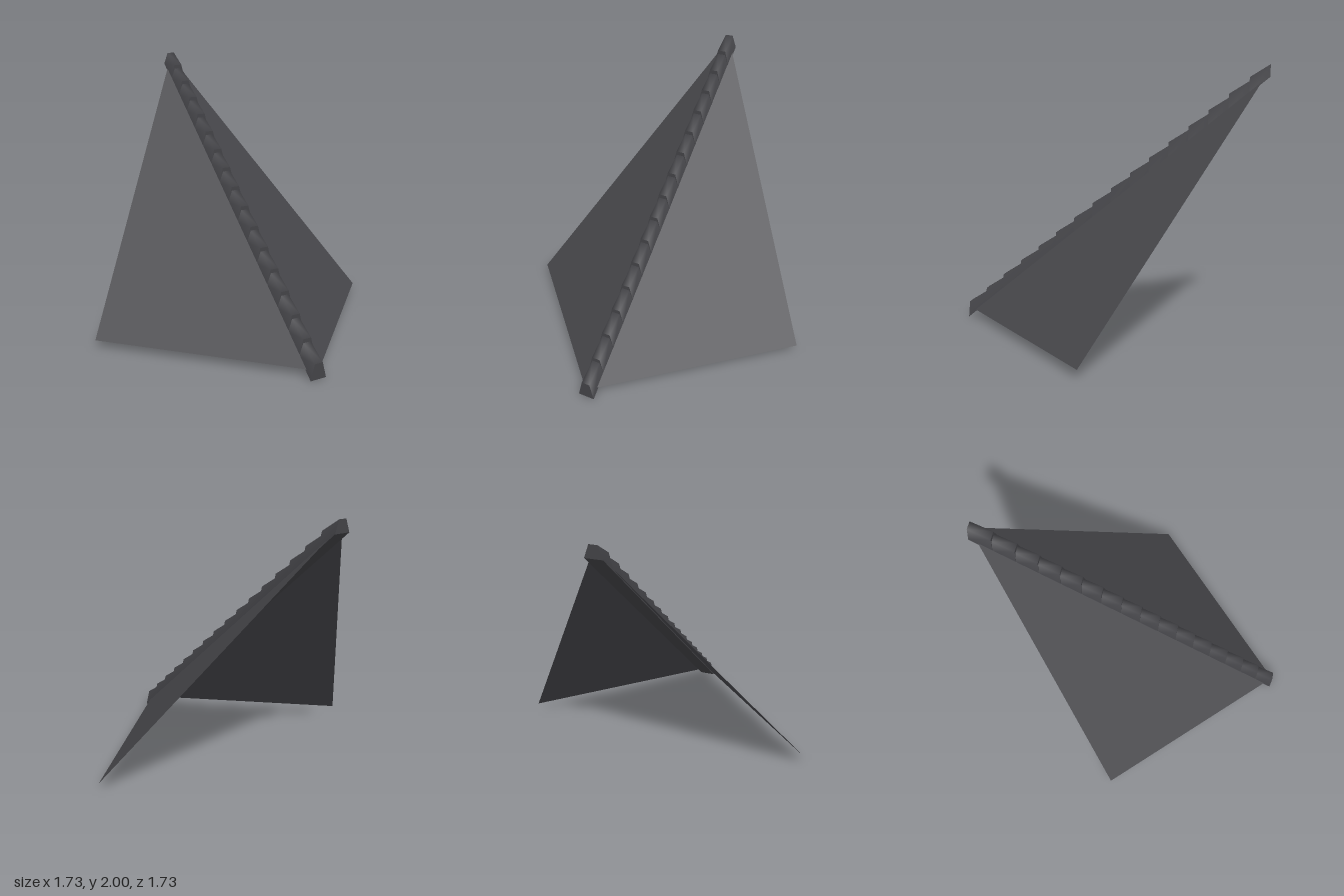
import * as THREE from 'three';

const TILES = 16;
const HALF = 0.8225; // half extent of the square footprint
const RISE = 1.91;   // height climbed by the hip
const EAVE = 0.06;   // height of the roof's lower edges

function indexedGeometry(points, index) {
  const geo = new THREE.BufferGeometry();
  geo.setAttribute('position', new THREE.Float32BufferAttribute(points.flat(), 3));
  geo.setIndex(index);
  geo.computeVertexNormals();
  return geo;
}

// Trapezoid section across the hip at fraction t of the way down
function section(t, height, topHalf) {
  const d = HALF * (2 * t - 1);
  const y = RISE * (1 - t);
  return [[-0.062, 0], [-topHalf, height], [topHalf, height], [0.062, 0]].map(([w, up]) => {
    const s = w * Math.SQRT1_2;
    return [d + s, y + up, d - s];
  });
}

// Sides and top between two sections, smooth across the top
function shellGeometry(upper, lower) {
  const index = [];
  for (let i = 0; i < 3; i++) index.push(i, i + 4, i + 5, i, i + 5, i + 1);
  return indexedGeometry([...upper, ...lower], index);
}

export function createModel() {
  const model = new THREE.Group();
  model.name = 'hipRoofCorner';

  const roof = new THREE.MeshStandardMaterial({ color: 0x47474b, side: THREE.DoubleSide });
  roof.name = 'roofGrey';
  const ridge = new THREE.MeshStandardMaterial({ color: 0x434347, side: THREE.DoubleSide });
  ridge.name = 'ridgeGrey';

  const add = (geo, mat, name, parent = model) => {
    const mesh = new THREE.Mesh(geo, mat);
    mesh.name = name;
    parent.add(mesh);
  };

  // Two sloping roof faces meeting inside the row of hip tiles
  const peak = [-HALF, EAVE + RISE, -HALF];
  const corner = [HALF, EAVE, HALF];
  add(indexedGeometry([[-HALF, EAVE, HALF], corner, peak], [0, 1, 2]), roof, 'frontSlope');
  add(indexedGeometry([corner, [HALF, EAVE, -HALF], peak], [0, 1, 2]), roof, 'sideSlope');

  // Hip tiles, each flaring at its lower end over the next
  const hip = new THREE.Group();
  hip.name = 'hipTiles';
  model.add(hip);
  for (let i = 0; i < TILES; i++) {
    const upper = section(i / TILES, 0.09, 0.03);
    const lower = section((i + 1) / TILES, 0.118, 0.032);
    add(shellGeometry(upper, lower), ridge, 'hipTile', hip);
    add(indexedGeometry(lower, [0, 3, 2, 0, 2, 1]), ridge, 'hipTileEnd', hip);
    if (i === 0) add(indexedGeometry(upper, [0, 1, 2, 0, 2, 3]), ridge, 'hipTopEnd', hip);
  }

  // Flat underside of the hip tiles
  const [topLeft, , , topRight] = section(0, 0.09, 0.03);
  const [lowLeft, , , lowRight] = section(1, 0.118, 0.032);
  add(indexedGeometry([topLeft, topRight, lowRight, lowLeft], [0, 1, 2, 0, 2, 3]), ridge, 'hipUnderside', hip);
  return model;
}
